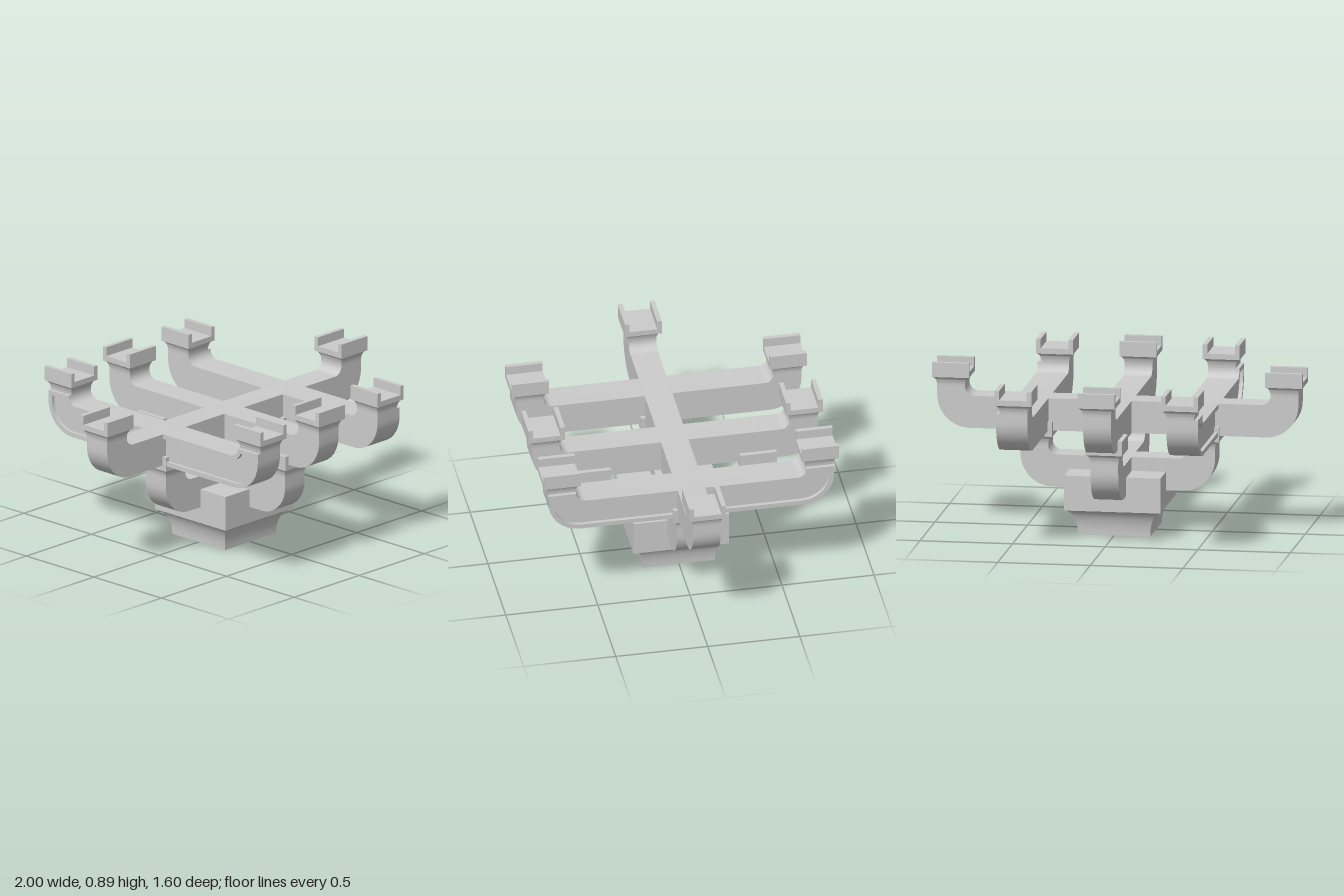
import * as THREE from 'three';
import { toCreasedNormals } from 'three/addons/utils/BufferGeometryUtils.js';

const material = new THREE.MeshStandardMaterial({ color: 0xcccccc });
const HALF = 0.075;    // half the thickness of an arm
const NECK = 0.225;    // height of an arm's end above its underside
const SEAT = 0.275;    // height of a bearing block above the arm's underside

function addMesh(parent, name, geometry) {
  const mesh = new THREE.Mesh(toCreasedNormals(geometry, 0.5), material);
  mesh.name = name;
  parent.add(mesh);
  return mesh;
}

// Points of a circular arc from angle a to angle b.
function arc(cx, cy, r, a, b, n = 14) {
  return Array.from({ length: n + 1 }, (_, i) => {
    const t = a + (b - a) * i / n;
    return new THREE.Vector2(cx + r * Math.cos(t), cy + r * Math.sin(t));
  });
}

// Adds the mirrored other half to a right-hand outline.
function mirrored(half) {
  return [...half, ...half.map(p => new THREE.Vector2(-p.x, p.y)).reverse()];
}

// Outline of an upturned arm whose ends are centred at +-c, inset by d.
function armOutline(c, d = 0) {
  const top = NECK - d;
  const bay = 0.05 + d;
  return mirrored([
    ...arc(c - 0.1, 0.175, 0.175 - d, -Math.PI / 2, 0),
    new THREE.Vector2(c + HALF - d, top),
    ...arc(c - 0.125, NECK, bay, -Math.asin(d / bay), -Math.PI / 2, 10),
  ]);
}

function extrude(shape, depth) {
  return new THREE.ExtrudeGeometry(shape, { depth, bevelEnabled: false })
    .translate(0, 0, -depth / 2);
}

// Square foot that sweeps outward from half-width a to b over height h.
function squareFlare(a, b, h) {
  const profile = [];
  for (let i = 0; i <= 10; i++) {
    const t = i / 10 * Math.PI / 2;
    profile.push(new THREE.Vector2((b - (b - a) * Math.cos(t)) * Math.SQRT2, h * Math.sin(t)));
  }
  profile.unshift(new THREE.Vector2(0, 0));
  profile.push(new THREE.Vector2(0, h));
  return new THREE.LatheGeometry(profile, 4).rotateY(Math.PI / 4);
}

// Bearing block: flared neck below a U-shaped channel open along z (or x).
function bearingBlock(parent, x, y, z, channelAlongX) {
  const block = new THREE.Group();
  block.name = 'bearingBlock';
  const channel = new THREE.Shape(mirrored([
    new THREE.Vector2(0.1, 0), new THREE.Vector2(0.1, 0.08),
    new THREE.Vector2(HALF, 0.08), new THREE.Vector2(HALF, 0.03),
  ]));
  addMesh(block, 'channelSeat', extrude(channel, 0.2));
  addMesh(block, 'flaredNeck', squareFlare(HALF, 0.1, SEAT - NECK)).position.y = NECK - SEAT;
  block.position.set(x, y, z);
  if (channelAlongX) block.rotation.y = Math.PI / 2;
  parent.add(block);
}

// Arm along x, or along z at a sideways offset.
function arm(parent, name, c, y, alongZ = false, offset = 0) {
  const mesh = addMesh(parent, name, extrude(new THREE.Shape(armOutline(c)), 2 * HALF));
  mesh.position.set(offset, y, 0);
  if (alongZ) mesh.rotation.y = Math.PI / 2;
}

export function createModel() {
  const model = new THREE.Group();
  model.name = 'bracketSet';

  // Base block
  const base = new THREE.Group();
  base.name = 'baseBlock';
  addMesh(base, 'baseFlare', squareFlare(0.195, 0.26, 0.14));
  addMesh(base, 'baseBody', new THREE.BoxGeometry(0.52, 0.19, 0.52)).position.y = 0.235;
  model.add(base);

  // Lower crossed arms with their four blocks
  const lowY = 0.23, highY = 0.535;
  arm(model, 'lowerCrossArm', 0.45, lowY);
  arm(model, 'lowerForwardArm', 0.45, lowY, true);
  for (const s of [-1, 1]) {
    bearingBlock(model, s * 0.45, lowY + SEAT, 0, false);
    bearingBlock(model, 0, lowY + SEAT, s * 0.45, false);
  }

  // Upper arms: one across, three front to back
  arm(model, 'upperCrossArm', 0.9, highY);
  for (const s of [-1, 1]) bearingBlock(model, s * 0.9, highY + SEAT, 0, true);
  for (const x of [-0.45, 0, 0.45]) {
    arm(model, 'upperForwardArm', 0.7, highY, true, x);
    for (const s of [-1, 1]) bearingBlock(model, x, highY + SEAT, s * 0.7, x === 0);
  }

  // Raised border on the outer face of each side arm
  const border = new THREE.Shape(armOutline(0.7));
  border.holes.push(new THREE.Path(armOutline(0.7, 0.025)));
  for (const s of [-1, 1]) {
    const rim = addMesh(model, 'sideArmBorder', extrude(border, 0.02));
    rim.rotation.y = Math.PI / 2;
    rim.position.set(s * (0.45 + HALF + 0.01), highY, 0);
  }

  return model;
}
